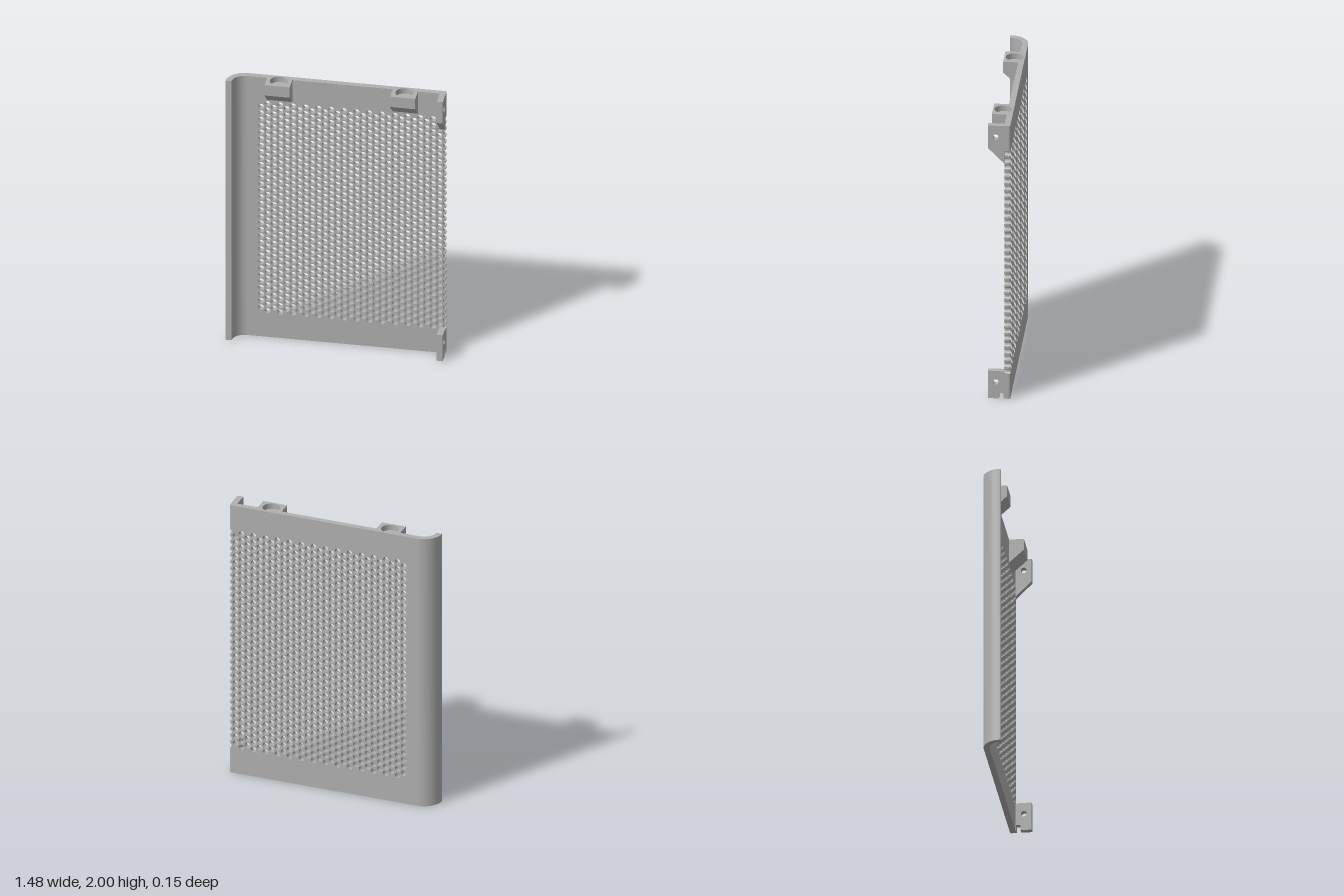
import * as THREE from 'three';
import { toCreasedNormals } from 'three/addons/utils/BufferGeometryUtils.js';

const BACK = -0.075, FRONT = -0.035;      // faces of the sheet in z
const LEFT = -0.612, EDGE = 0.73, RIGHT = 0.74;
const PITCH = 0.05, COLUMN = 0.0433, HOLE = 0.02, ROWS = 33, FIRST = 0.2;
const RECESS = 1.96;                      // floor height of the boss recesses
const BOSSES = [-0.39, 0.465], BOSS_HALF = 0.086, BOSS_FRONT = 0.065;

// Points on an arc, angles in degrees
function arc(cx, cy, r, from, to, steps) {
  return Array.from({ length: steps + 1 }, (_, i) => {
    const a = THREE.MathUtils.degToRad(from + (to - from) * i / steps);
    return new THREE.Vector2(cx + r * Math.cos(a), cy + r * Math.sin(a));
  });
}
const circle = (cx, cy, r, n) => new THREE.Path(arc(cx, cy, r, 0, 360, n).slice(0, n));
const points = (list) => list.map(([a, b]) => new THREE.Vector2(a, b));

function extrude(shape, depth) {
  return new THREE.ExtrudeGeometry(shape, { depth, bevelEnabled: false });
}
// Plan outline drawn as (x, -z), raised from y0 to y1
function upright(shape, y0, y1) {
  return extrude(shape, y1 - y0).rotateX(-Math.PI / 2).translate(0, y0, 0);
}
// Side outline drawn as (-z, y), spread from x0 to x1
function sideways(shape, x0, x1) {
  return extrude(shape, x1 - x0).rotateY(Math.PI / 2).translate(x0, 0, 0);
}

export function createModel() {
  const group = new THREE.Group();
  const grey = new THREE.MeshStandardMaterial({ color: 0xb0b0b0 });
  grey.name = 'grey';
  const add = (name, geometry) => {
    const mesh = new THREE.Mesh(geometry, grey);
    mesh.name = name;
    group.add(mesh);
  };

  // Perforated sheet, its right side bitten by a half column of holes
  const outline = points([[LEFT, RECESS], [LEFT, 0], [EDGE, 0]]);
  for (let j = 0; j < ROWS; j++) {
    outline.push(...arc(RIGHT, FIRST + j * PITCH, HOLE, 240, 120, 4));
  }
  outline.push(new THREE.Vector2(EDGE, RECESS));
  const sheet = new THREE.Shape(outline);
  for (let i = 0; i < 29; i++) {
    const odd = i % 2;
    for (let j = 0; j < (odd ? ROWS : ROWS - 1); j++) {
      const y = FIRST + j * PITCH + (odd ? 0 : PITCH / 2);
      sheet.holes.push(circle(RIGHT - (29 - i) * COLUMN, y, HOLE, 12));
    }
  }
  add('perforatedSheet', extrude(sheet, FRONT - BACK).translate(0, 0, BACK));

  // Rounded right edge, interrupted by the holes
  const rim = new THREE.Shape([
    ...points([[EDGE, -FRONT], [RIGHT, -FRONT]]),
    ...arc(EDGE, -BACK - 0.01, 0.01, 0, 90, 4),
  ]);
  const gap = 0.0187;
  for (let j = 0; j <= ROWS; j++) {
    const y0 = j === 0 ? 0 : FIRST + (j - 1) * PITCH + gap;
    const y1 = j === ROWS ? 2 : FIRST + j * PITCH - gap;
    add('rightEdge', upright(rim, y0, y1));
  }

  // Quarter-round curl along the left side
  const curl = new THREE.Shape([
    ...arc(LEFT, -0.055, 0.13, 90, 180, 16),
    ...arc(LEFT, -0.055, 0.09, 180, 90, 16),
  ]);
  add('leftCurl', toCreasedNormals(upright(curl, 0, 2), 0.5));

  // Top layer of sheet and bosses, opened by the round recesses
  const top = points([[LEFT, -BACK], [LEFT, -FRONT]]);
  for (const x of BOSSES) {
    const l = x - BOSS_HALF, r = x + BOSS_HALF;
    top.push(...points([[l, -FRONT], [l, -BOSS_FRONT], [r, -BOSS_FRONT], [r, -FRONT]]));
  }
  top.push(...points([[EDGE, -FRONT], [EDGE, -BACK]]));
  const topShape = new THREE.Shape(top);
  for (const x of BOSSES) topShape.holes.push(circle(x, 0.005, 0.06, 32));
  add('topLayer', toCreasedNormals(upright(topShape, RECESS, 2), 0.5));

  // Sloping undersides of the bosses
  const boss = new THREE.Shape(points([
    [-FRONT, RECESS], [-FRONT, 1.83], [-BOSS_FRONT, 1.92], [-BOSS_FRONT, RECESS],
  ]));
  for (const x of BOSSES) add('boss', sideways(boss, x - BOSS_HALF, x + BOSS_HALF));

  // Upper flange with a slanted lower side and a screw hole
  const upper = new THREE.Shape(points([
    [-FRONT, 2], [-0.075, 2], [-0.075, 1.835], [-FRONT, 1.725],
  ]));
  upper.holes.push(circle(-0.022, 1.917, 0.02, 24));
  add('upperFlange', toCreasedNormals(sideways(upper, 0.699, RIGHT), 0.5));

  // Lower flange with a screw hole and a slot beside the sheet
  const lower = new THREE.Shape(points([
    [-FRONT, 0.2], [-0.075, 0.2], [-0.075, 0], [0, 0], [0, 0.04], [0.03, 0.04],
    [0.03, 0], [-FRONT, 0],
  ]));
  lower.holes.push(circle(-0.022, 0.12, 0.02, 24));
  add('lowerFlange', toCreasedNormals(sideways(lower, 0.699, RIGHT), 0.5));

  return group;
}
